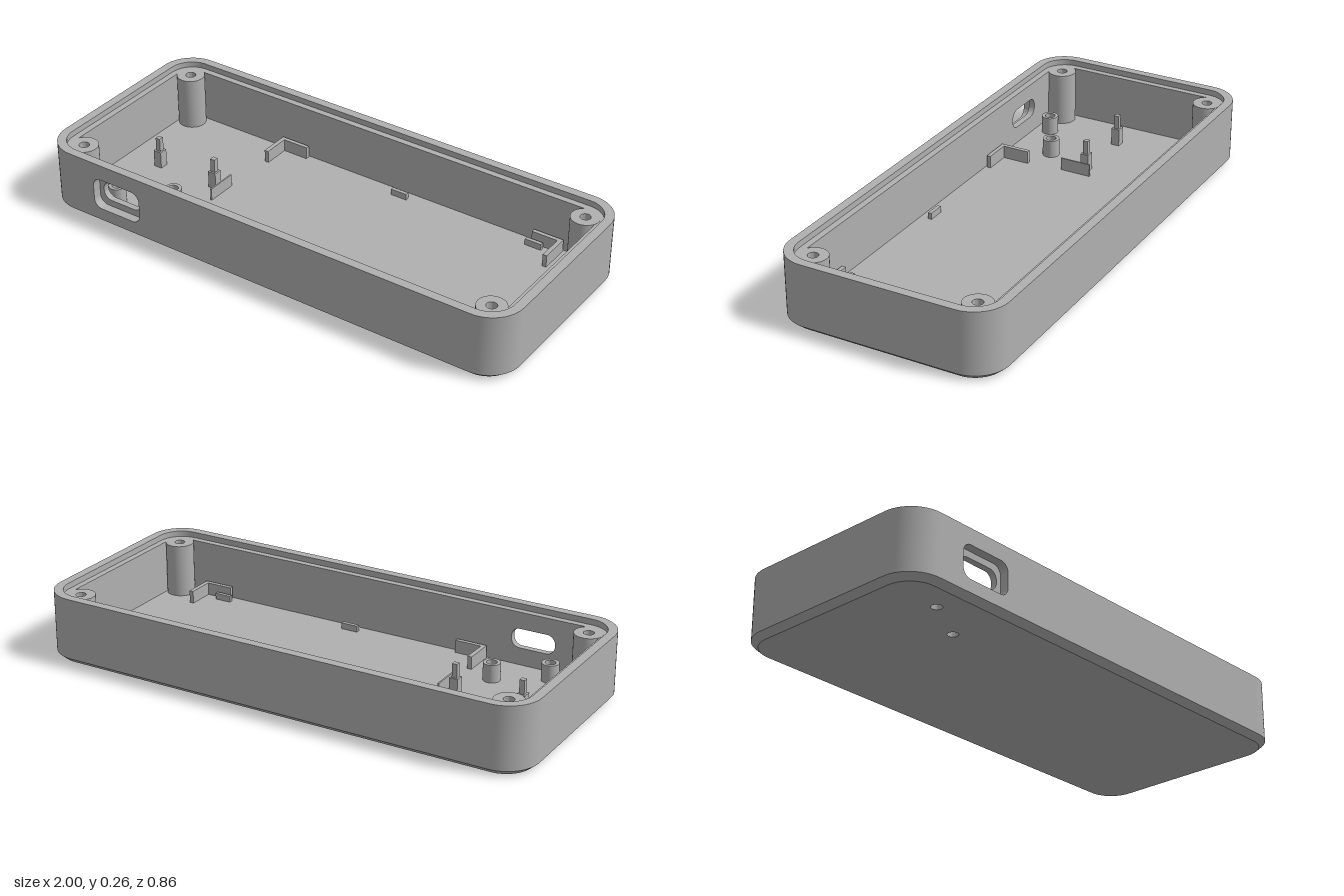
import * as THREE from 'three';
import { toCreasedNormals, mergeGeometries } from 'three/addons/utils/BufferGeometryUtils.js';

const CORNER = 12;           // segments per rounded corner
const FLOOR = 0.03, LEDGE = 0.24, TOP = 0.263;
const CX = 0.87, CZ = 0.3;   // centres of the rounded corners

// Rounded rectangle outline as a shape or hole path
function roundRect(target, cx, cy, hw, hh, r) {
  target.absarc(cx + hw - r, cy + hh - r, r, 0, Math.PI / 2);
  target.absarc(cx - hw + r, cy + hh - r, r, Math.PI / 2, Math.PI);
  target.absarc(cx - hw + r, cy - hh + r, r, Math.PI, Math.PI * 1.5);
  target.absarc(cx + hw - r, cy - hh + r, r, Math.PI * 1.5, Math.PI * 2);
  target.closePath();
  return target;
}

function circleHole(x, y, r) {
  const p = new THREE.Path();
  p.absarc(x, y, r, 0, Math.PI * 2, true);
  return p;
}

// One closed ring of the case at a corner radius and height
function ring(r, y) {
  const pts = [];
  [[1, 1], [-1, 1], [-1, -1], [1, -1]].forEach(([sx, sz], c) => {
    for (let i = 0; i <= CORNER; i++) {
      const a = (c + i / CORNER) * Math.PI / 2;
      pts.push([sx * CX + r * Math.cos(a), y, sz * CZ + r * Math.sin(a)]);
    }
  });
  return pts;
}

// Strip between two rings; the straight front stretch can be left open
function strip(lower, upper, openFront) {
  const n = lower.length, index = [];
  for (let i = 0; i < n; i++) {
    if (openFront && i === CORNER) continue;
    const j = (i + 1) % n;
    index.push(i, i + n, j, j, i + n, j + n);
  }
  const g = new THREE.BufferGeometry();
  g.setAttribute('position', new THREE.Float32BufferAttribute([...lower, ...upper].flat(), 3));
  g.setIndex(index);
  g.computeVertexNormals();
  return g;
}

function lathe(points, segments = 32) {
  return toCreasedNormals(
    new THREE.LatheGeometry(points.map(([x, y]) => new THREE.Vector2(x, y)), segments), 0.6);
}

export function createModel() {
  const group = new THREE.Group();
  const grey = new THREE.MeshStandardMaterial({ color: 0xb0b0b0 });
  grey.name = 'plainGrey';

  function add(name, geometry, x = 0, y = 0, z = 0) {
    const m = new THREE.Mesh(geometry, grey);
    m.name = name;
    m.position.set(x, y, z);
    group.add(m);
    return m;
  }
  // Box given by its extents, standing on the floor unless y0 is set
  function block(name, x0, x1, z0, z1, y1, y0 = FLOOR - 0.005) {
    add(name, new THREE.BoxGeometry(Math.abs(x1 - x0), y1 - y0, Math.abs(z1 - z0)),
      (x0 + x1) / 2, (y0 + y1) / 2, (z0 + z1) / 2);
  }

  // Outer wall, chamfer, rim, lid rebate and inner wall
  const rings = [
    ring(0.105, 0), ring(0.13, 0.022), ring(0.13, TOP), ring(0.095, TOP),
    ring(0.095, LEDGE), ring(0.07, LEDGE), ring(0.07, FLOOR),
  ];
  const strips = [];
  for (let i = 0; i < rings.length - 1; i++) strips.push(strip(rings[i], rings[i + 1], i > 0));
  add('caseWalls', mergeGeometries(strips));

  // Front wall in two layers: recess outside, port opening inside
  function frontLayer(name, top, z, depth, hw, hh, r) {
    const s = new THREE.Shape();
    s.moveTo(-CX, 0.022); s.lineTo(CX, 0.022); s.lineTo(CX, top); s.lineTo(-CX, top);
    s.closePath();
    s.holes.push(roundRect(new THREE.Path(), -0.652, 0.136, hw, hh, r));
    const g = new THREE.ExtrudeGeometry(s, { depth, bevelEnabled: false, curveSegments: 10 });
    add(name, toCreasedNormals(g, 0.6), 0, 0, z);
  }
  frontLayer('frontWallOuter', TOP, 0.395, 0.035, 0.108, 0.064, 0.035);
  frontLayer('frontWallInner', LEDGE, 0.37, 0.025, 0.088, 0.038, 0.034);

  // Floor with two through holes
  const tubes = [[-0.57, 0.2], [-0.755, 0.305]];
  const floorShape = roundRect(new THREE.Shape(), 0, 0, 0.975, 0.405, 0.105);
  tubes.forEach(([x, z]) => floorShape.holes.push(circleHole(x, -z, 0.02)));
  const floor = new THREE.ExtrudeGeometry(floorShape,
    { depth: FLOOR, bevelEnabled: false, curveSegments: CORNER });
  floor.rotateX(-Math.PI / 2);
  add('floor', toCreasedNormals(floor, 0.6));

  // Guide tubes around the floor holes
  const tube = lathe([[0.033, FLOOR], [0.033, 0.1], [0.02, 0.1], [0.02, FLOOR]], 24);
  tubes.forEach(([x, z]) => add('guideTube', tube, x, 0, z));

  // Screw bosses in the corners
  const boss = lathe([[0.055, FLOOR], [0.055, LEDGE + 0.001], [0.02, LEDGE + 0.001],
    [0.02, 0.08], [0, 0.08]]);
  for (const sx of [-1, 1]) for (const sz of [-1, 1]) {
    add('screwBoss', boss, sx * 0.89, 0, sz * 0.323);
  }

  // Board corner brackets and small ribs along both long walls
  for (const sz of [-1, 1]) {
    for (const [x, dir] of [[-0.467, 1], [0.791, -1]]) {
      block('bracketLongArm', x, x + dir * 0.123, sz * 0.363, sz * 0.347, 0.08);
      block('bracketCrossArm', x, x + dir * 0.017, sz * 0.347, sz * 0.24, 0.08);
    }
    for (const x of [0.103, 0.688]) {
      block('smallRib', x - 0.034, x + 0.034, sz * 0.337, sz * 0.322, 0.055);
    }
  }

  // Stepped locating posts and the thin stop plate
  for (const x of [-0.783, -0.517]) {
    block('postBase', x - 0.017, x + 0.017, -0.002, 0.032, 0.1);
    block('postPin', x - 0.01, x + 0.01, 0.005, 0.025, 0.155, 0.095);
  }
  block('stopPlate', -0.472, -0.466, -0.025, 0.1, 0.08);

  return group;
}
